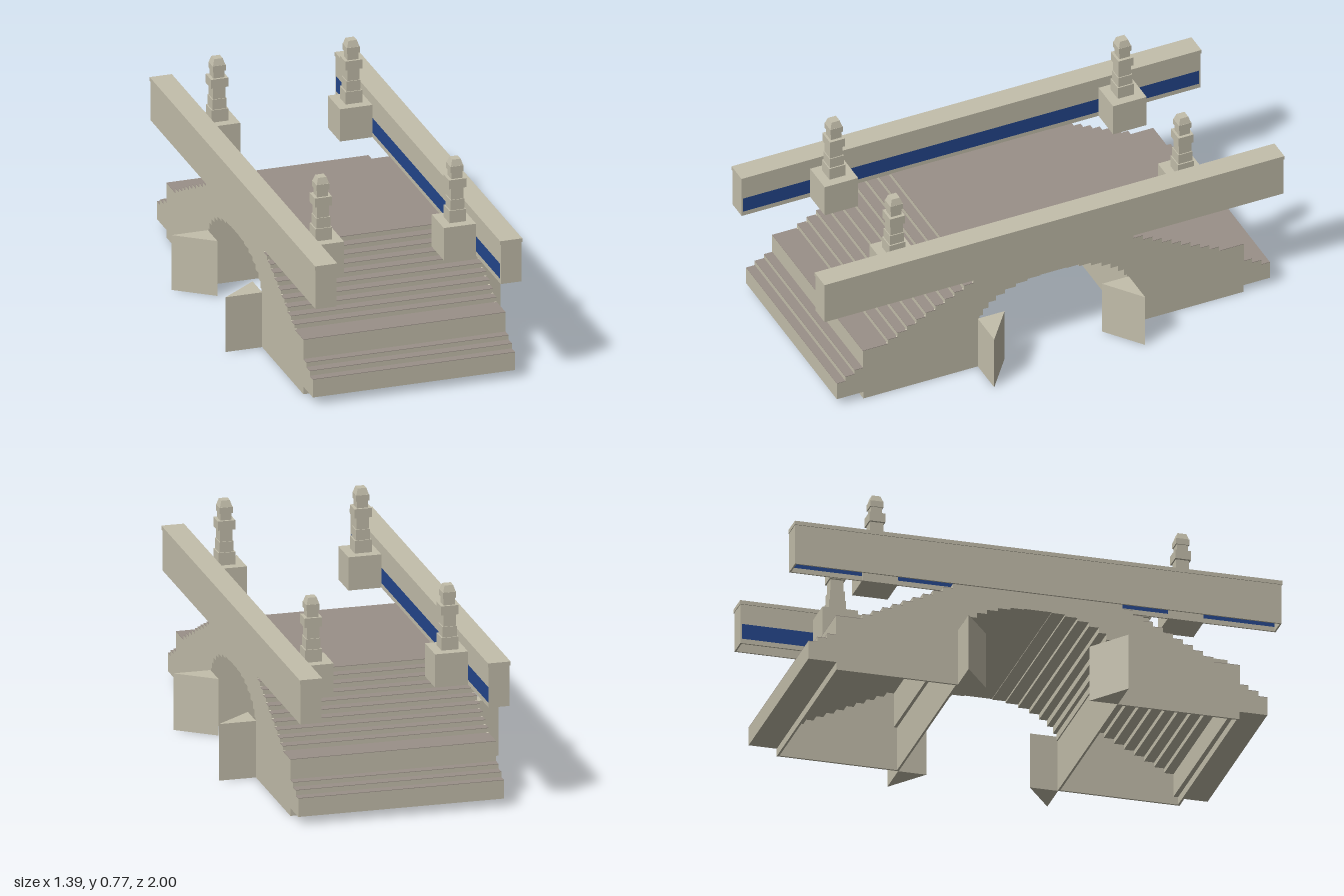
import * as THREE from 'three';

const stone = new THREE.MeshStandardMaterial({ color: 0xc3beab });
stone.name = 'stone';
const paving = new THREE.MeshStandardMaterial({ color: 0x9a9088 });
paving.name = 'paving';
const blue = new THREE.MeshStandardMaterial({ color: 0x23468c });
blue.name = 'blue panel';

const W = 0.387; // half width of the bridge

// Box given by its ranges on each axis
function box(parent, name, mat, x0, x1, y0, y1, z0, z1) {
  const m = new THREE.Mesh(new THREE.BoxGeometry(Math.abs(x1 - x0), y1 - y0, Math.abs(z1 - z0)), mat);
  m.position.set((x0 + x1) / 2, (y0 + y1) / 2, (z0 + z1) / 2);
  m.name = name;
  parent.add(m);
  return m;
}

// Extrude a (z, y) profile across the bridge, from x0 to x1
function crossExtrude(parent, name, points, x0, x1) {
  const shape = new THREE.Shape(points.map(p => new THREE.Vector2(p[0], p[1])));
  const g = new THREE.ExtrudeGeometry(shape, { depth: x1 - x0, bevelEnabled: false });
  g.rotateY(-Math.PI / 2).translate(x1, 0, 0);
  const m = new THREE.Mesh(g, stone);
  m.name = name;
  parent.add(m);
}

// Each tread: outer edge z and its height, from the crown to the foot
function treadList() {
  const t = [[0.32, 0.4]];
  for (let i = 1; i <= 10; i++) t.push([0.32 + 0.038 * i, 0.4 - 0.0185 * i]);
  t[t.length - 1][0] = 0.762;
  t.push([0.795, 0.138], [0.832, 0.12], [0.866, 0.1]);
  return t;
}

function addSpan(g) {
  const treads = treadList();
  const half = [];
  // Stepped top
  treads.forEach(([z, y], i) => {
    half.push([z, y], [z, i + 1 < treads.length ? treads[i + 1][1] : 0.03]);
  });
  // Sawtooth underside of the stair
  half.push([0.735, 0.03], [0.735, 0.12]);
  for (let i = 9; i >= 0; i--) {
    const z = 0.32 + 0.038 * i, y = 0.12 + 0.0185 * (9 - i);
    half.push([z + 0.038, y], [z + 0.038, y + 0.0185]);
  }
  half.push([0.32, 0.305], [0.32, 0.17]);
  // Stepped vault
  const n = 9;
  let y = 0.17;
  for (let i = 0; i < n; i++) {
    const a = ((i + 1) / n) * Math.PI / 2;
    const z = 0.3 * Math.cos((i / n) * Math.PI / 2);
    half.push([z, y]);
    y = 0.17 + 0.165 * Math.sin(a);
    half.push([z, y]);
  }
  const other = half.map(([z, h]) => [-z, h]).reverse();
  crossExtrude(g, 'stairSpan', [...half, ...other], -W, W);

  // Paving on the platform and treads
  box(g, 'platform', paving, -W, W, 0.4, 0.402, -0.32, 0.32);
  for (const s of [-1, 1]) {
    for (let i = 1; i < treads.length; i++) {
      box(g, 'tread', paving, -W, W, treads[i][1], treads[i][1] + 0.002, s * treads[i - 1][0], s * treads[i][0]);
    }
  }
}

// Hollow abutment with open bottom, spandrels and pointed cutwaters
function addAbutment(g, s) {
  const t = 0.008;
  for (const k of [-1, 1]) {
    box(g, 'abutmentSide', stone, k * W, k * (W - t), 0, 0.214, s * 0.3, s * 0.76);
    const sp = [[0.301, 0.17], [0.72, 0.17], [0.69, 0.205], [0.32, 0.385], [0.301, 0.385]].map(p => [s * p[0], p[1]]);
    crossExtrude(g, 'spandrel', sp, k > 0 ? W - t : -W, k > 0 ? W : -W + t);
    const tri = new THREE.Shape([[k * W, s * 0.195], [k * W, s * 0.302], [k * 0.527, s * 0.302]]
      .map(p => new THREE.Vector2(p[0], -p[1])));
    const geo = new THREE.ExtrudeGeometry(tri, { depth: 0.216, bevelEnabled: false }).rotateX(-Math.PI / 2);
    const m = new THREE.Mesh(geo, stone);
    m.name = 'cutwater';
    g.add(m);
  }
  box(g, 'abutmentInnerWall', stone, -W, W, 0, 0.172, s * 0.3, s * (0.3 + t));
  box(g, 'abutmentEndWall', stone, -W, W, 0, 0.214, s * (0.76 - t), s * 0.76);
}

// Hollow parapet with a coping and a blue strip on the inner face
function addParapet(g, k) {
  const t = 0.006, L = 0.918, a = 0.315, b = 0.394;
  box(g, 'parapetOuterWall', stone, k * (b - t), k * b, 0.4, 0.556, -L, L);
  box(g, 'parapetCoping', stone, k * (a - 0.003), k * (b + 0.003), 0.555, 0.57, -L - 0.002, L + 0.002);
  for (const s of [-1, 1]) box(g, 'parapetEnd', stone, k * a, k * b, 0.4, 0.556, s * (L - t), s * L);
  box(g, 'parapetInnerLower', stone, k * a, k * (a + t), 0.4, 0.418, -L + t, L - t);
  box(g, 'parapetBlueStrip', blue, k * a, k * (a + t), 0.418, 0.477, -L + 0.001, L - 0.001);
  box(g, 'parapetInnerUpper', stone, k * a, k * (a + t), 0.477, 0.556, -L + t, L - t);
}

// Pedestal with a blocky statue: [width, depth, bottom, top]
function addStatue(g, k, s) {
  const statue = new THREE.Group();
  statue.name = 'statue';
  statue.position.set(k * 0.257, 0, s * 0.577);
  box(statue, 'pedestal', stone, -0.066, 0.066, 0.4, 0.527, -0.067, 0.067);
  const blocks = [
    [0.064, 0.064, 0.527, 0.575], [0.054, 0.056, 0.575, 0.615], [0.047, 0.05, 0.615, 0.66],
    [0.066, 0.06, 0.66, 0.695], [0.042, 0.042, 0.695, 0.722], [0.05, 0.05, 0.722, 0.745],
  ];
  for (const [w, d, y0, y1] of blocks) box(statue, 'statueBlock', stone, -w / 2, w / 2, y0, y1, -d / 2, d / 2);
  const head = new THREE.Mesh(new THREE.CylinderGeometry(0.023, 0.034, 0.025, 4).rotateY(Math.PI / 4), stone);
  head.position.y = 0.7565;
  head.name = 'statueHead';
  head.geometry = head.geometry.toNonIndexed();
  head.geometry.computeVertexNormals();
  statue.add(head);
  g.add(statue);
}

export function createModel() {
  const root = new THREE.Group();
  root.name = 'bridge';
  const g = new THREE.Group();
  g.name = 'bridgeBody';
  g.rotation.y = 0.356;
  root.add(g);
  addSpan(g);
  for (const s of [-1, 1]) {
    addAbutment(g, s);
    addParapet(g, s);
    for (const k of [-1, 1]) addStatue(g, k, s);
  }
  return root;
}
